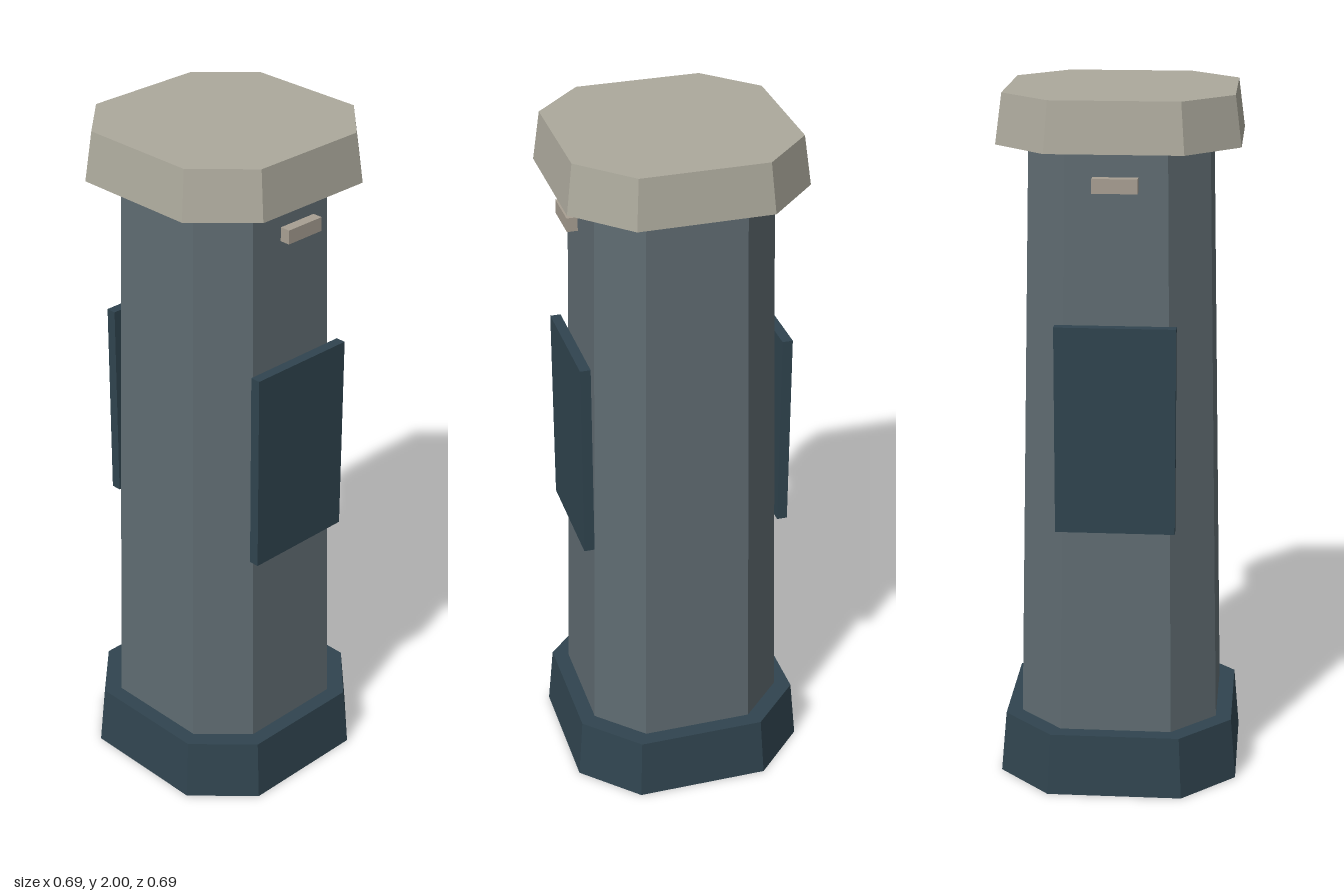
import * as THREE from 'three';

const CORNER = 0.56; // where the chamfer starts, as a share of the half width

// Tapered block with a chamfered-square section
function taperedBlock(name, y0, y1, half0, half1, material) {
  const c = CORNER;
  const outline = [[1, -c], [1, c], [c, 1], [-c, 1], [-1, c], [-1, -c], [-c, -1], [c, -1]];
  const shape = new THREE.Shape(outline.map(([x, y]) => new THREE.Vector2(x, y)));
  const geometry = new THREE.ExtrudeGeometry(shape, { depth: y1 - y0, bevelEnabled: false });
  geometry.rotateX(-Math.PI / 2);
  const pos = geometry.attributes.position;
  for (let i = 0; i < pos.count; i++) {
    const upper = pos.getY(i) > (y1 - y0) / 2;
    const half = upper ? half1 : half0;
    pos.setXYZ(i, pos.getX(i) * half, upper ? y1 : y0, pos.getZ(i) * half);
  }
  geometry.computeVertexNormals();
  const mesh = new THREE.Mesh(geometry, material);
  mesh.name = name;
  return mesh;
}

function plate(name, width, y0, y1, z, material) {
  const mesh = new THREE.Mesh(new THREE.BoxGeometry(width, y1 - y0, 0.03), material);
  mesh.position.set(0, (y0 + y1) / 2, z);
  mesh.name = name;
  return mesh;
}

function paint(name, color) {
  const material = new THREE.MeshStandardMaterial({ color, flatShading: true });
  material.name = name;
  return material;
}

export function createModel() {
  const navy = paint('dark slate blue', 0x30444f);
  const grey = paint('slate grey', 0x5f6b71);
  const stone = paint('pale stone', 0xaca99c);
  const tan = paint('warm stone', 0xa89f92);

  const model = new THREE.Group();
  model.name = 'pillar';

  // Plinth, shaft and cap
  model.add(
    taperedBlock('plinth', 0, 0.18, 0.345, 0.33, navy),
    taperedBlock('shaft', 0.18, 1.86, 0.285, 0.25, grey),
    taperedBlock('cap', 1.86, 2, 0.335, 0.317, stone),
  );

  // Panel and small marker plate on the front and back
  for (const [side, sign] of [['front', 1], ['back', -1]]) {
    model.add(
      plate(side + 'Panel', 0.336, 0.79, 1.38, sign * 0.291, navy),
      plate(side + 'Marker', 0.124, 1.75, 1.79, sign * 0.291, tan),
    );
  }
  return model;
}
